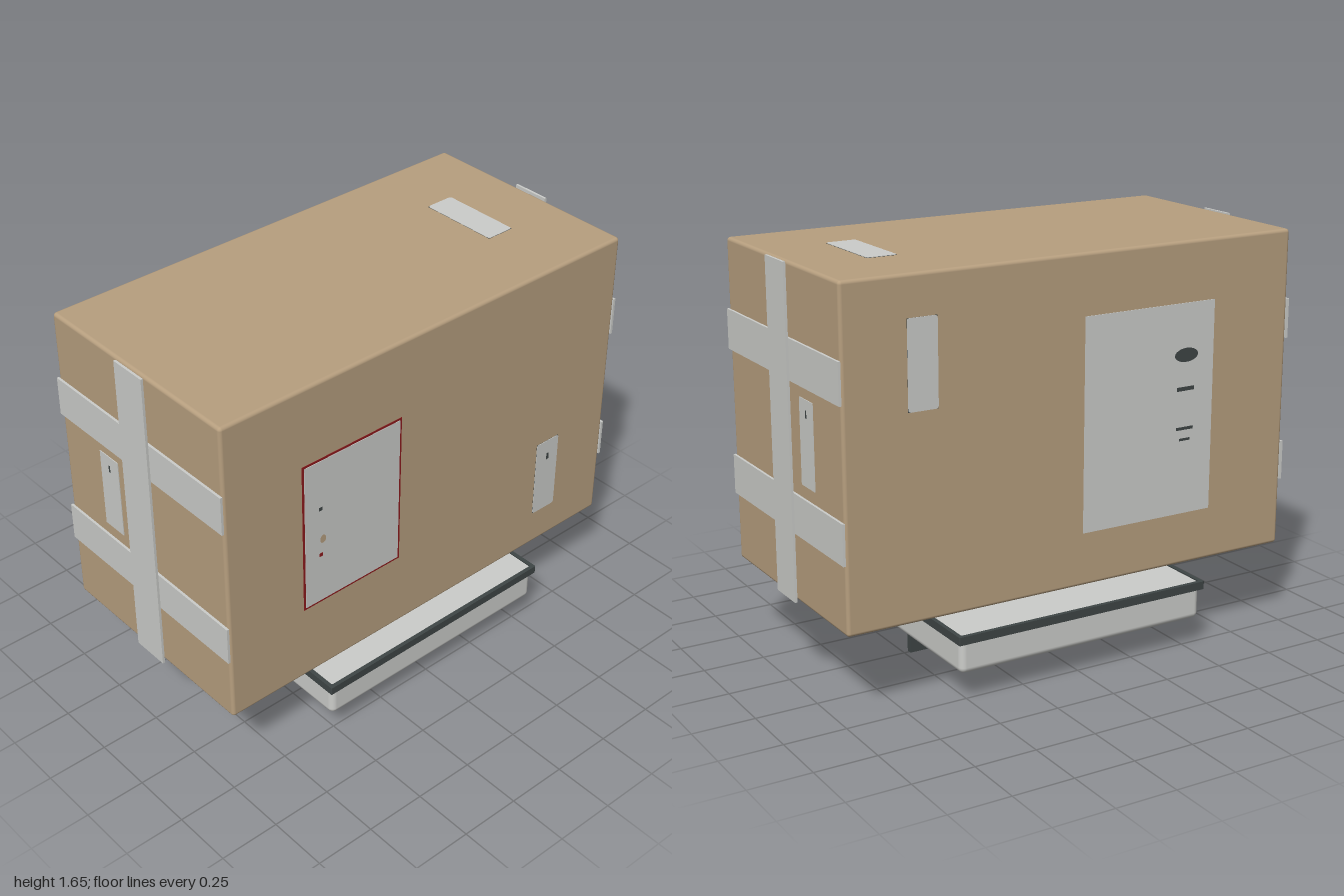
import * as THREE from 'three';
import { RoundedBoxGeometry } from 'three/addons/geometries/RoundedBoxGeometry.js';

const material = (name, color) => {
  const m = new THREE.MeshStandardMaterial({ color });
  m.name = name;
  return m;
};

export function createModel() {
  const cardboard = material('cardboard', 0xb79f7f);
  const paper = material('pale grey', 0xcccdca);
  const dark = material('dark slate', 0x3f4646);
  const red = material('dark red', 0x8c1a1c);

  const model = new THREE.Group();
  model.name = 'cartonOnStand';

  const add = (parent, name, geometry, mat, x = 0, y = 0, z = 0) => {
    const mesh = new THREE.Mesh(geometry, mat);
    mesh.name = name;
    mesh.position.set(x, y, z);
    parent.add(mesh);
    return mesh;
  };
  // Thin plate on a face group, from its base height z0 to z1
  const plate = (parent, name, mat, x, y, w, h, z0, z1) =>
    add(parent, name, new THREE.BoxGeometry(w, h, z1 - z0), mat, x, y, (z0 + z1) / 2);

  const roundedRect = (w, h, r) => {
    const s = new THREE.Shape(), a = w / 2, b = h / 2;
    s.moveTo(-a + r, -b);
    s.lineTo(a - r, -b);
    s.quadraticCurveTo(a, -b, a, -b + r);
    s.lineTo(a, b - r);
    s.quadraticCurveTo(a, b, a - r, b);
    s.lineTo(-a + r, b);
    s.quadraticCurveTo(-a, b, -a, b - r);
    s.lineTo(-a, -b + r);
    s.quadraticCurveTo(-a, -b, -a + r, -b);
    return s;
  };

  // Carton
  const W = 1.96, H = 1.305, D = 0.98, midY = 0.9975;
  const carton = new THREE.Group();
  carton.name = 'carton';
  carton.position.y = midY;
  model.add(carton);
  add(carton, 'cartonBody', new RoundedBoxGeometry(W, H, D, 3, 0.014), cardboard);

  // One group per face: local +z points outward, local origin on the surface
  const face = (name, rx, ry, x, y, z) => {
    const g = new THREE.Group();
    g.name = name;
    g.rotation.set(rx, ry, 0);
    g.position.set(x, y, z);
    carton.add(g);
    return g;
  };
  const q = Math.PI / 2;
  const front = face('frontFace', 0, 0, 0, 0, D / 2);
  const back = face('backFace', 0, Math.PI, 0, 0, -D / 2);
  const left = face('leftFace', 0, q, W / 2, 0, 0);
  const right = face('rightFace', 0, -q, -W / 2, 0, 0);
  const top = face('topFace', -q, 0, 0, H / 2, 0);
  const bottom = face('bottomFace', q, 0, 0, -H / 2, 0);

  // Small sticker with rounded corners on a dark backing
  const sticker = (parent, x, y) => {
    plate(parent, 'stickerBacking', dark, x, y, 0.122, 0.342, 0, 0.001);
    const geo = new THREE.ExtrudeGeometry(roundedRect(0.122, 0.342, 0.012),
      { depth: 0.002, bevelEnabled: false });
    add(parent, 'sticker', geo, paper, x, y, 0.001);
  };
  sticker(front, 0.652, 0.672 - midY);
  sticker(back, -0.66, 1.32 - midY);
  sticker(top, 0.652, 0.005);
  sticker(bottom, 0.652, 0);
  plate(front, 'stickerMark', dark, 0.655, 0.765 - midY, 0.012, 0.03, 0.003, 0.004);

  // Front document with red border and small marks
  const docY = 0.9975 - midY;
  plate(front, 'documentBorder', red, -0.395, docY, 0.475, 0.655, 0, 0.002);
  plate(front, 'documentSheet', paper, -0.395, docY, 0.457, 0.637, 0.002, 0.004);
  const disc = (parent, name, mat, x, y, rx, ry, z) => {
    const mesh = add(parent, name, new THREE.CircleGeometry(1, 24), mat, x, y, z);
    mesh.scale.set(rx, ry, 1);
  };
  disc(front, 'documentSeal', cardboard, -0.54, 0.965 - midY, 0.014, 0.018, 0.005);
  [[-0.55, 1.105, dark], [-0.55, 0.895, red]].forEach(([x, y, m]) =>
    plate(front, 'documentMark', m, x, y - midY, 0.015, 0.015, 0.004, 0.005));

  // Large rear sheet with dark marks
  plate(back, 'rearSheet', paper, 0.322, 0.985 - midY, 0.595, 0.85, 0, 0.003);
  disc(back, 'rearSpot', dark, 0.49, 1.205 - midY, 0.055, 0.028, 0.004);
  [[0.49, 1.07, 0.08, 0.016], [0.49, 0.91, 0.08, 0.012], [0.49, 0.865, 0.05, 0.01]]
    .forEach(([x, y, w, h]) => plate(back, 'rearMark', dark, x, y - midY, w, h, 0.003, 0.004));

  // End straps: two bands across, one upright band over them, and a side sticker
  [[left, 0.197], [right, -0.197]].forEach(([end, x]) => {
    [1.29, 0.70].forEach((y) =>
      plate(end, 'crossStrap', paper, 0, y - midY, 0.98, 0.16, 0, 0.01));
    plate(end, 'uprightStrap', paper, 0, 0, 0.16, H, 0.01, 0.02);
    plate(end, 'sideSticker', paper, x, 0, 0.112, 0.335, 0, 0.003);
    plate(end, 'sideStickerMark', dark, x, 1.11 - midY, 0.008, 0.03, 0.003, 0.004);
  });

  // Stand: rounded tray, dark rim frame and a keel fin below
  const stand = new THREE.Group();
  stand.name = 'stand';
  model.add(stand);
  add(stand, 'tray', new RoundedBoxGeometry(1.096, 0.15, 1.096, 4, 0.025), paper, 0, 0.197, 0);
  const rimShape = roundedRect(1.12, 1.12, 0.004);
  rimShape.holes.push(new THREE.Path(roundedRect(1.086, 1.086, 0.004).getPoints(4).reverse()));
  const rim = add(stand, 'trayRim',
    new THREE.ExtrudeGeometry(rimShape, { depth: 0.033, bevelEnabled: false }), dark, 0, 0.247, 0);
  rim.rotation.x = -q;
  add(stand, 'trayTop', new THREE.BoxGeometry(1.09, 0.01, 1.09), paper, 0, 0.27, 0);
  add(stand, 'keel', new THREE.BoxGeometry(0.956, 0.126, 0.024), dark, 0, 0.063, 0);
  add(stand, 'undersideTab', new THREE.BoxGeometry(0.08, 0.012, 0.02), cardboard, 0.36, 0.118, 0.05);

  return model;
}
